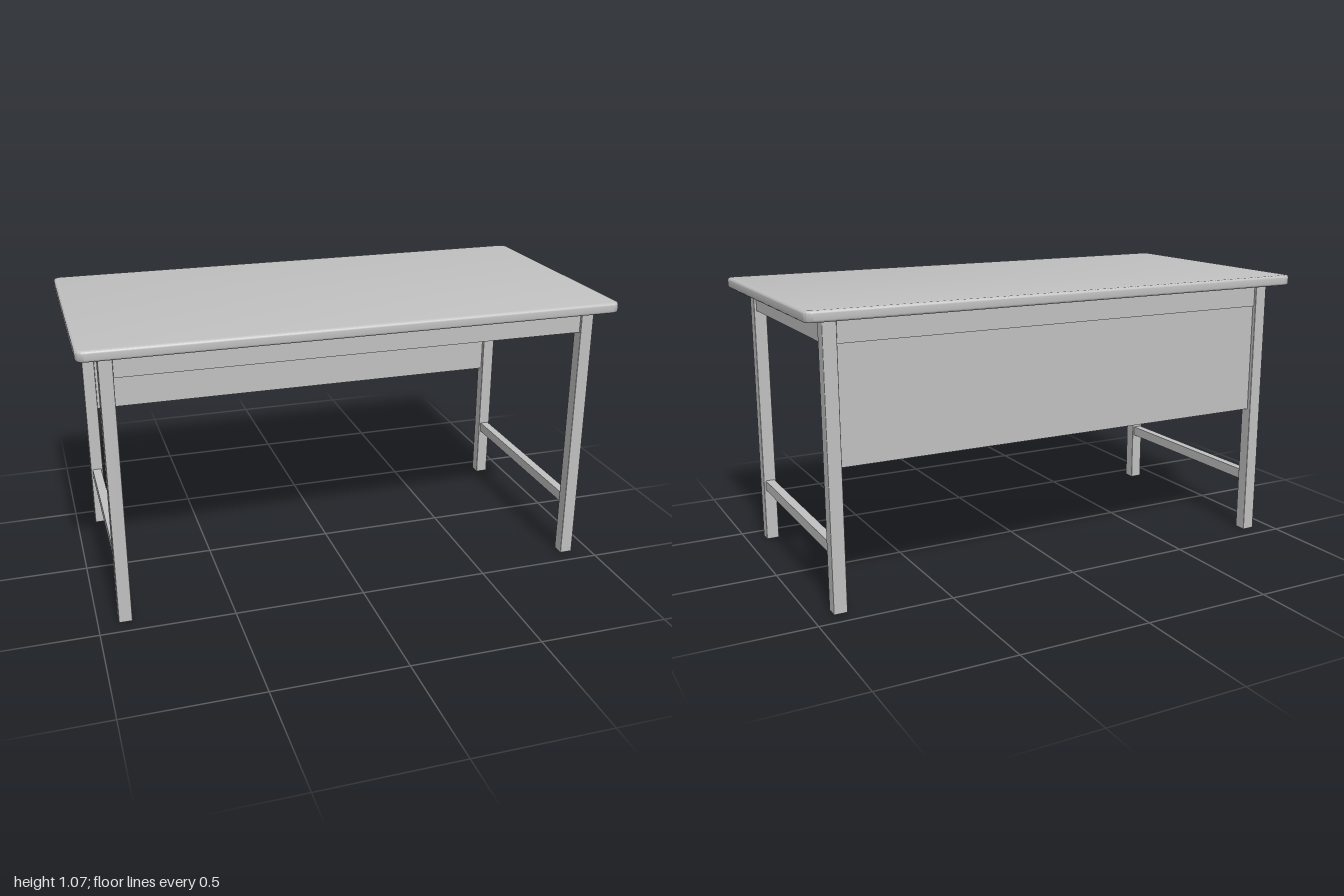
import * as THREE from 'three';
import { toCreasedNormals } from 'three/addons/utils/BufferGeometryUtils.js';
import { RoundedBoxGeometry } from 'three/addons/geometries/RoundedBoxGeometry.js';

const TOP_Y = 1.07, UNDER_Y = 1.03;
const LEG = 0.05, LEG_X = 0.9, LEG_Z = 0.415;
const SPAN_X = 2 * LEG_X - LEG, SPAN_Z = 2 * LEG_Z - LEG;

// Slab with rounded corners in plan and softened edges, standing on y = 0
function roundedSlab(width, height, depth, corner, edge) {
  const w = width / 2 - edge, d = depth / 2 - edge, r = corner - edge;
  const shape = new THREE.Shape();
  shape.moveTo(-w + r, -d);
  shape.absarc(w - r, -d + r, r, -Math.PI / 2, 0);
  shape.absarc(w - r, d - r, r, 0, Math.PI / 2);
  shape.absarc(-w + r, d - r, r, Math.PI / 2, Math.PI);
  shape.absarc(-w + r, -d + r, r, Math.PI, Math.PI * 1.5);
  const geometry = new THREE.ExtrudeGeometry(shape, {
    depth: height - 2 * edge, curveSegments: 8,
    bevelThickness: edge, bevelSize: edge, bevelSegments: 4,
  });
  geometry.translate(0, 0, edge).rotateX(-Math.PI / 2);
  return toCreasedNormals(geometry, 0.6);
}

export function createModel() {
  const desk = new THREE.Group();
  desk.name = 'desk';
  const grey = new THREE.MeshStandardMaterial({ color: 0xc0c0c0 });
  grey.name = 'grey';

  const add = (name, geometry, x, y, z) => {
    const mesh = new THREE.Mesh(geometry, grey);
    mesh.name = name;
    mesh.position.set(x, y, z);
    desk.add(mesh);
  };
  // Box placed by its bottom and top heights
  const addBar = (name, width, depth, bottom, top, x, z) =>
    add(name, new THREE.BoxGeometry(width, top - bottom, depth), x, (bottom + top) / 2, z);

  add('tabletop', roundedSlab(2, TOP_Y - UNDER_Y, 1, 0.03, 0.01), 0, UNDER_Y, 0);

  // Legs with slightly eased edges
  const leg = new RoundedBoxGeometry(LEG, UNDER_Y, LEG, 2, 0.003);
  for (const [side, sx] of [['left', 1], ['right', -1]]) {
    for (const [end, sz] of [['Front', 1], ['Back', -1]]) {
      add(`${side}${end}Leg`, leg, sx * LEG_X, UNDER_Y / 2, sz * LEG_Z);
    }
    // Rails joining the two legs of each side
    addBar(`${side}Apron`, 0.03, SPAN_Z, 0.945, UNDER_Y, sx * LEG_X, 0);
    addBar(`${side}Stretcher`, 0.035, SPAN_Z, 0.21, 0.25, sx * LEG_X, 0);
  }

  // Long rails and the modesty panel hung below the back one
  addBar('frontApron', SPAN_X, 0.03, 0.945, UNDER_Y, 0, LEG_Z);
  addBar('backApron', SPAN_X, 0.03, 0.945, UNDER_Y, 0, -LEG_Z);
  addBar('modestyPanel', SPAN_X, 0.018, 0.52, 0.945, 0, -LEG_Z);

  return desk;
}
